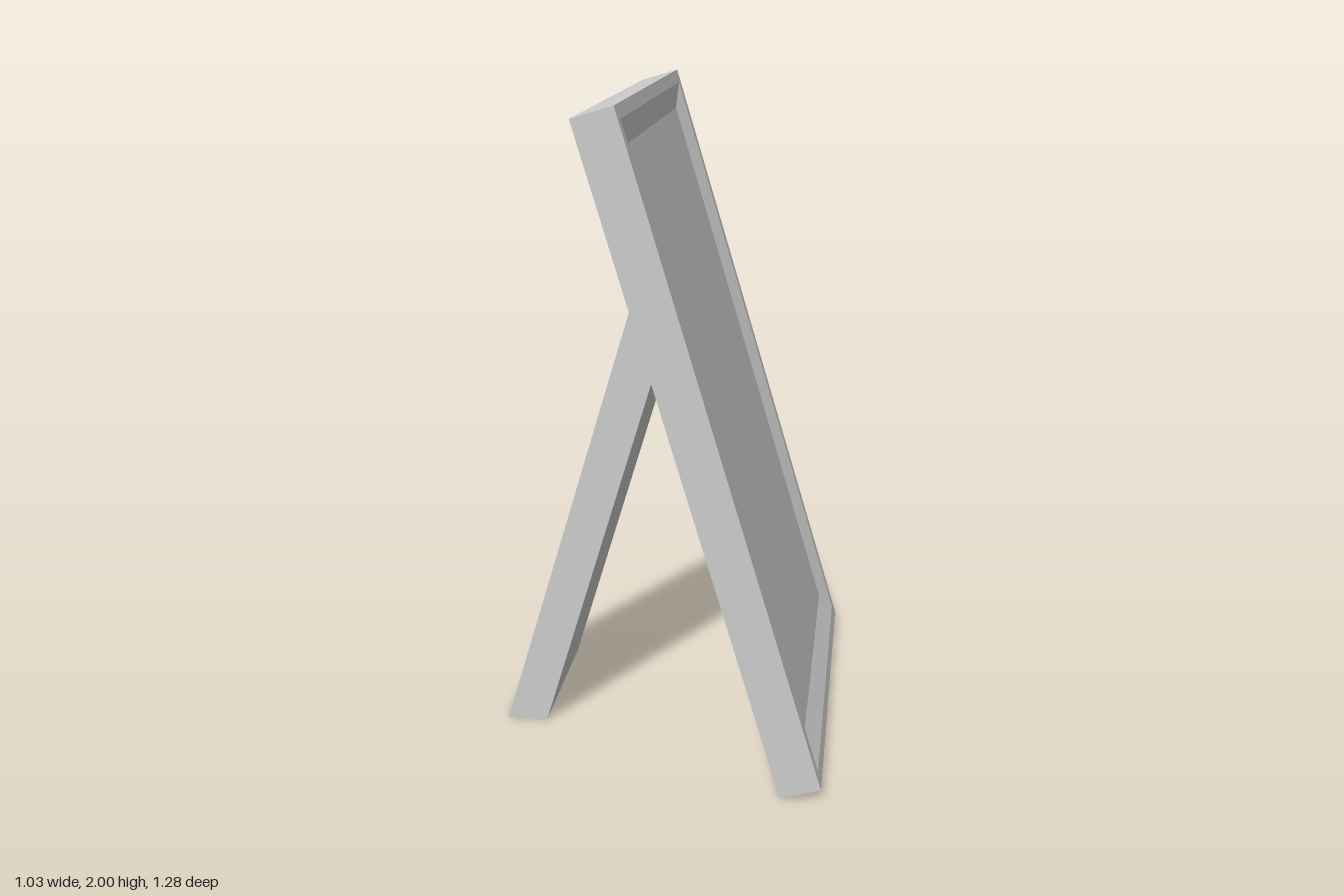
import * as THREE from 'three';

// Skin a stack of four-cornered rings, ordered from back (-x) to front (+x), with capped ends
function ringSolid(rings) {
  const positions = [];
  const quad = (a, b, c, d) => [a, b, c, a, c, d].forEach((p) => positions.push(...p));
  const loops = rings.map(({ x, y, z }) => [[x, -y, -z], [x, y, -z], [x, y, z], [x, -y, z]]);
  for (let i = 0; i < loops.length - 1; i++) {
    for (let j = 0; j < 4; j++) {
      const k = (j + 1) % 4;
      quad(loops[i][j], loops[i][k], loops[i + 1][k], loops[i + 1][j]);
    }
  }
  quad(...loops[loops.length - 1]);
  quad(...[...loops[0]].reverse());
  const geometry = new THREE.BufferGeometry();
  geometry.setAttribute('position', new THREE.Float32BufferAttribute(positions, 3));
  geometry.computeVertexNormals();
  return geometry;
}

export function createModel() {
  const group = new THREE.Group();
  group.name = 'standingFrame';
  const grey = new THREE.MeshStandardMaterial({ color: 0xcccccc });
  grey.name = 'light grey';

  // Leaning frame: flat lip, bevel sinking to a recessed panel
  const h = 1.025, w = 0.64, t = 0.0625, lip = 0.04;
  const frame = new THREE.Mesh(ringSolid([
    { x: -t, y: h, z: w },
    { x: t, y: h, z: w },
    { x: t, y: h - lip, z: w - lip },
    { x: t - 0.026, y: h - 0.116, z: w - 0.095 },
  ]), grey);
  frame.name = 'frame';
  frame.position.set(0.155, 1, 0);
  frame.rotation.z = 0.2924;
  group.add(frame);

  // Rear support leg: cut flat on the floor and flush with the frame's back
  const side = new THREE.Shape([
    new THREE.Vector2(-0.515, 0),
    new THREE.Vector2(-0.388, 0),
    new THREE.Vector2(0.003, 1.29),
    new THREE.Vector2(-0.063, 1.51),
  ]);
  const leg = new THREE.Mesh(
    new THREE.ExtrudeGeometry(side, { depth: 0.52, bevelEnabled: false }), grey);
  leg.name = 'supportLeg';
  leg.position.z = -0.27;
  group.add(leg);

  return group;
}
